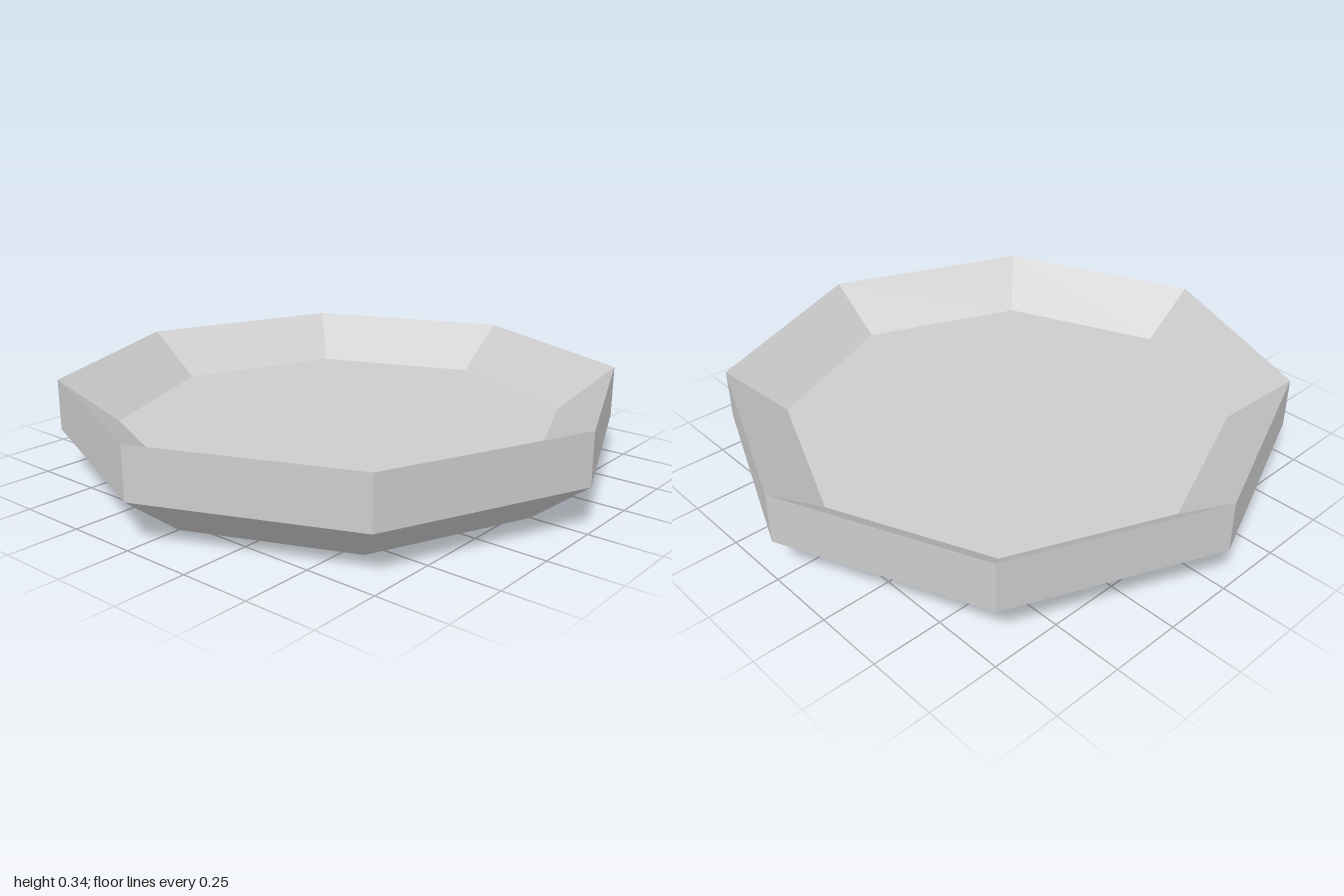
import * as THREE from 'three';

const SIDES = 8;

export function createModel() {
  const group = new THREE.Group();
  group.name = 'octagonalDish';

  const grey = new THREE.MeshStandardMaterial({ color: 0xcccccc, flatShading: true });
  grey.name = 'plainGrey';

  const outer = 1, inner = 0.797;
  const shoulder = 0.157, rim = 0.34, floorY = 0.183;

  // Eight-sided ring of faces between two [radius, height] points
  const addBand = (name, from, to) => {
    const points = [from, to].map(([r, y]) => new THREE.Vector2(r, y));
    const mesh = new THREE.Mesh(new THREE.LatheGeometry(points, SIDES), grey);
    mesh.name = name;
    group.add(mesh);
  };

  // Flat eight-sided plate with corners on the axes
  const addPlate = (name, y, facing) => {
    const geometry = new THREE.CircleGeometry(inner, SIDES);
    geometry.rotateX(-facing * Math.PI / 2);
    const mesh = new THREE.Mesh(geometry, grey);
    mesh.name = name;
    mesh.position.y = y;
    group.add(mesh);
  };

  addPlate('underside', 0, -1);
  addBand('lowerSlope', [inner, 0], [outer, shoulder]);
  addBand('outerWall', [outer, shoulder], [outer, rim]);
  addBand('innerSlope', [outer, rim], [inner, floorY]);
  addPlate('floor', floorY, 1);

  return group;
}
